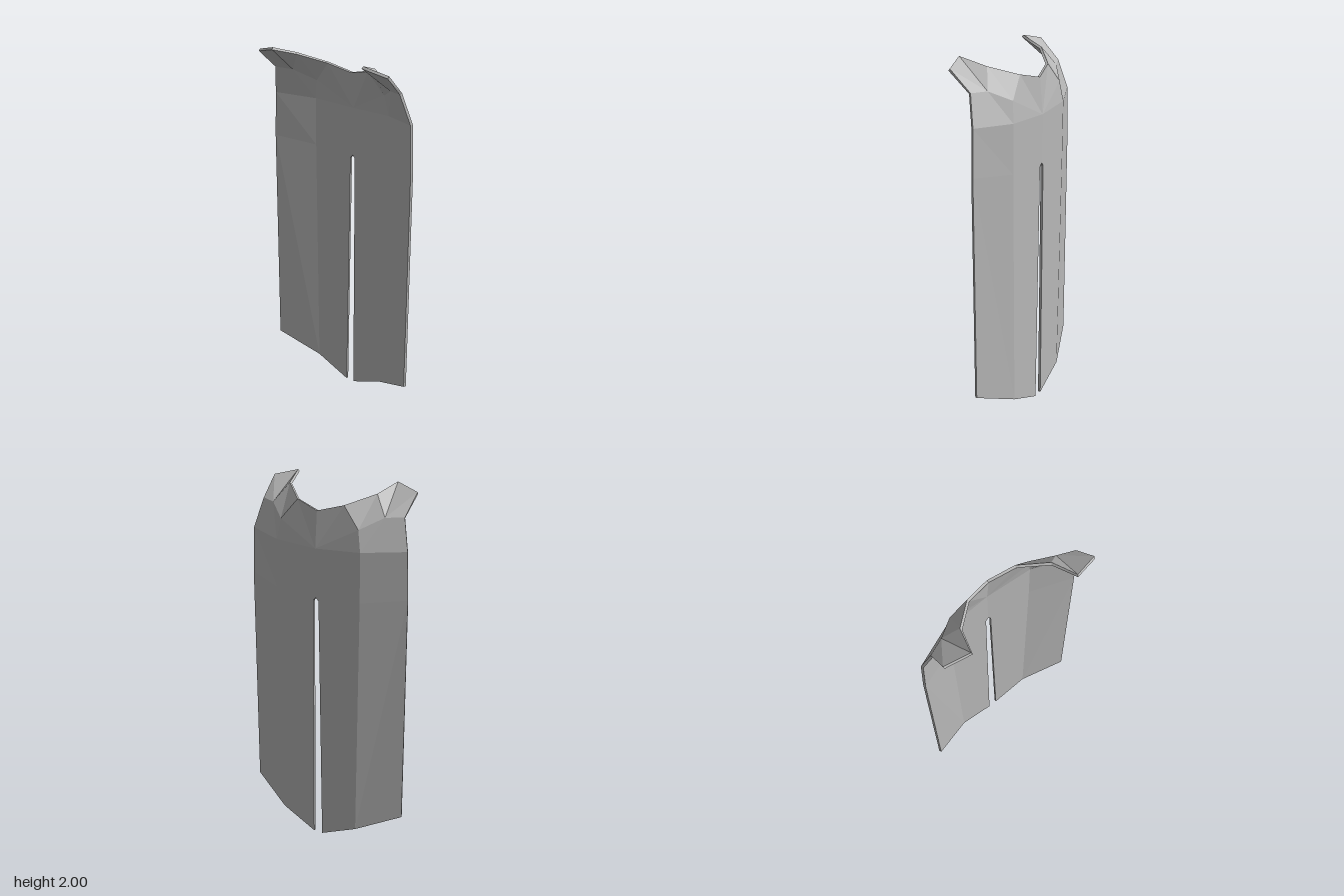
import * as THREE from 'three';

const THICKNESS = 0.014;

// Outer surface of the model's left half
const POINTS = [
  // hem: slit, middle, side
  [0.027, 0, -0.143], [0.24, 0.09, -0.131], [0.482, 0.2, -0.042],
  // top of the slit: slit edge, middle, side, slit peak
  [0.016, 1.395, -0.152], [0.255, 1.42, -0.135], [0.482, 1.45, -0.043], [0, 1.412, -0.153],
  // shoulder blades: centre, middle, side
  [0, 1.675, -0.155], [0.255, 1.685, -0.136], [0.472, 1.7, -0.042],
  // neckline: centre, bend, collar, inner tip, outer tip, shoulder edge
  [0, 1.868, -0.138], [0.14, 1.905, -0.104], [0.265, 1.957, 0.008],
  [0.306, 2, 0.145], [0.437, 1.967, 0.11], [0.43, 1.86, -0.003],
  // inner shoulder points
  [0.235, 1.795, -0.122], [0.34, 1.855, -0.042],
];

const FACES = [
  [0, 3, 4, 1], [1, 4, 5, 2], [3, 6, 7, 8, 4], [4, 8, 9, 5],
  [7, 10, 11, 16, 8], [8, 16, 17, 15, 9], [16, 11, 12, 17], [17, 12, 13, 14, 15],
];

function makeGeometry(positions, index) {
  const g = new THREE.BufferGeometry();
  g.setAttribute('position', new THREE.Float32BufferAttribute(positions, 3));
  g.setIndex(index);
  g.computeVertexNormals();
  return g;
}

export function createModel() {
  const group = new THREE.Group();
  group.name = 'cape';
  const cloth = new THREE.MeshStandardMaterial({ color: 0xb8b8b8, flatShading: true });
  cloth.name = 'grey cloth';

  // Mirror the half, sharing the points on the centre line
  const points = POINTS.map((p) => p.slice());
  const mirror = POINTS.map(([x, y, z], i) => (x === 0 ? i : points.push([-x, y, z]) - 1));
  const faces = [...FACES, ...FACES.map((f) => f.map((i) => mirror[i]).reverse())];

  // Outer triangles; each polygon is a fan, mirrored halves fan alike
  const outer = [];
  FACES.forEach((f) => {
    for (let k = 1; k < f.length - 1; k++) {
      outer.push(f[0], f[k], f[k + 1]);
      outer.push(mirror[f[0]], mirror[f[k + 1]], mirror[f[k]]);
    }
  });
  const outerGeometry = makeGeometry(points.flat(), outer);

  // Lining: the same surface moved inwards and turned over
  const normal = outerGeometry.attributes.normal;
  const inside = points.map(([x, y, z], i) => [
    x === 0 ? 0 : x - normal.getX(i) * THICKNESS,
    y - normal.getY(i) * THICKNESS,
    z - normal.getZ(i) * THICKNESS,
  ]);
  const lining = [];
  for (let i = 0; i < outer.length; i += 3) lining.push(outer[i], outer[i + 2], outer[i + 1]);

  // Rim: a wall along every edge that belongs to one face only
  const edges = new Set();
  faces.forEach((f) => f.forEach((a, k) => edges.add(`${a},${f[(k + 1) % f.length]}`)));
  const rim = [];
  const n = points.length;
  edges.forEach((edge) => {
    const [a, b] = edge.split(',').map(Number);
    if (!edges.has(`${b},${a}`)) rim.push(b, a, a + n, b, a + n, b + n);
  });

  const parts = {
    capeOutside: outerGeometry,
    capeLining: makeGeometry(inside.flat(), lining),
    capeRim: makeGeometry([...points, ...inside].flat(), rim),
  };
  for (const [name, geometry] of Object.entries(parts)) {
    const mesh = new THREE.Mesh(geometry, cloth);
    mesh.name = name;
    group.add(mesh);
  }
  return group;
}
